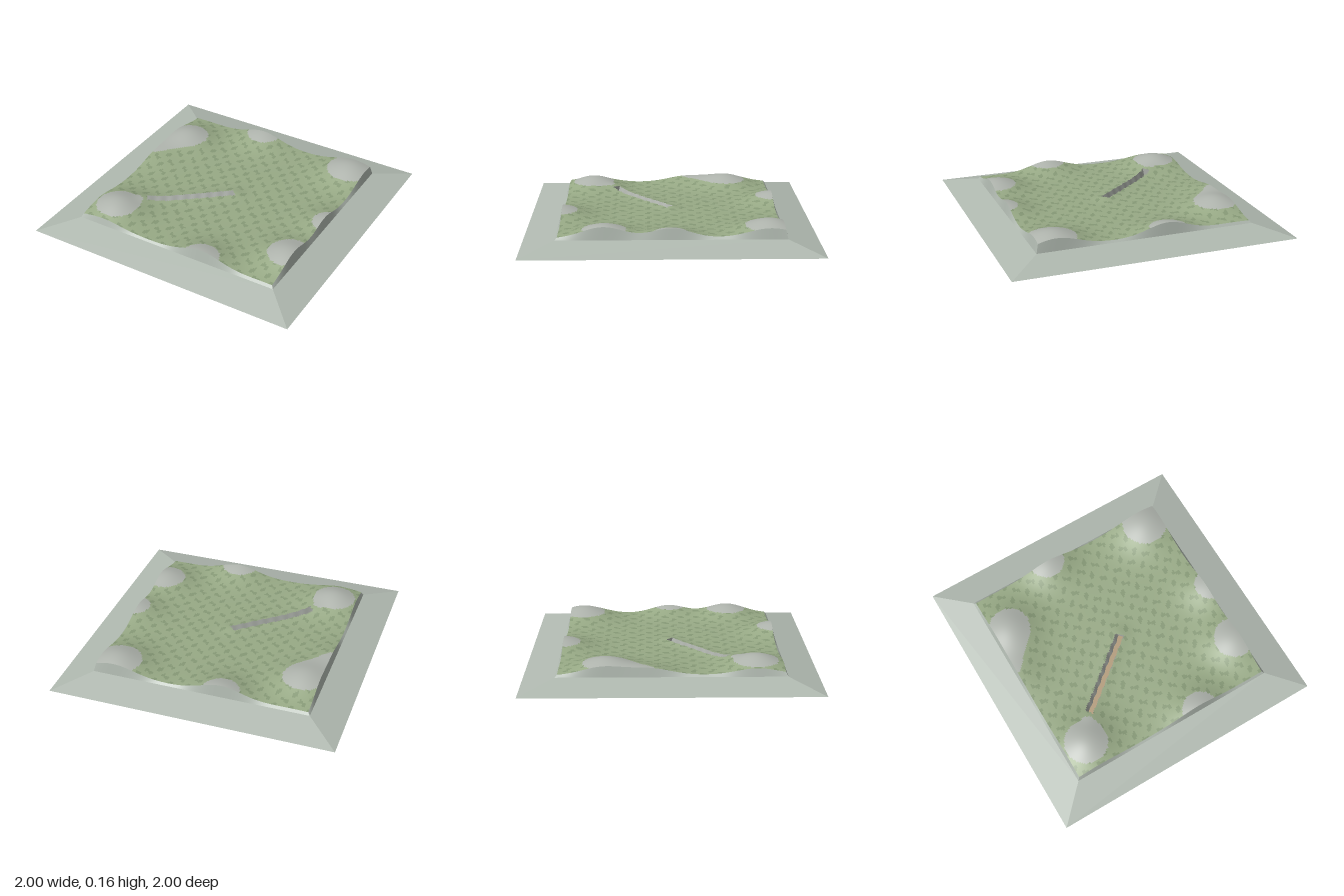
import * as THREE from 'three';

const EDGE = 0.755, SKIRT = 0.77, BASE = 0.07, RIM = 0.06, ROCK_LEVEL = 0.118;

// Rounded hills: x, z, height, spread
const HILLS = [
  [-0.64, -0.45, 0.082, 0.14], [-0.77, -0.14, 0.046, 0.14],
  [-0.15, -0.77, 0.075, 0.14], [0.63, -0.66, 0.088, 0.15],
  [0.78, 0, 0.066, 0.13], [0.71, 0.45, 0.08, 0.14],
  [0.22, 0.78, 0.075, 0.14], [-0.59, 0.57, 0.088, 0.14],
];

// Trench axis and its side direction
const A = new THREE.Vector2(-0.465, 0.392), B = new THREE.Vector2(0.025, -0.005);
const LENGTH = A.distanceTo(B);
const ALONG = B.clone().sub(A).normalize();
const SIDE = new THREE.Vector2(-ALONG.y, ALONG.x);
const trenchCoords = (x, z) => {
  const p = new THREE.Vector2(x, z).sub(A);
  return [p.dot(ALONG), p.dot(SIDE)];
};

function height(x, z) {
  let h = BASE;
  for (const [hx, hz, amp, s] of HILLS) {
    h += amp * Math.exp(-((x - hx) ** 2 + (z - hz) ** 2) / (2 * s * s));
  }
  // low bank of earth around the trench
  const [t, u] = trenchCoords(x, z);
  const past = Math.max(0, -t, t - LENGTH);
  return h + 0.014 * Math.exp(-(u * u + past * past) / (2 * 0.05 ** 2));
}

const paint = (color) => new THREE.MeshStandardMaterial({ color, side: THREE.DoubleSide });

// Grid surface from fn(u, v) -> [x, y, z]
function surface(nu, nv, fn) {
  const pos = [], index = [];
  for (let j = 0; j <= nv; j++) {
    for (let i = 0; i <= nu; i++) pos.push(...fn(i / nu, j / nv));
  }
  for (let j = 0; j < nv; j++) {
    for (let i = 0; i < nu; i++) {
      const a = j * (nu + 1) + i, c = a + nu + 1;
      index.push(a, c, a + 1, a + 1, c, c + 1);
    }
  }
  const g = new THREE.BufferGeometry();
  g.setAttribute('position', new THREE.Float32BufferAttribute(pos, 3));
  g.setIndex(index);
  g.computeVertexNormals();
  return g;
}

function addMesh(group, name, geometry, material) {
  const mesh = new THREE.Mesh(geometry, material);
  mesh.name = name;
  group.add(mesh);
  return mesh;
}

// Ground, divided into light grass, dark grass tufts and rocky hilltops
function buildTerrain(group) {
  const whole = surface(130, 130, (u, v) => {
    const x = (2 * u - 1) * EDGE, z = (2 * v - 1) * EDGE;
    return [x, height(x, z), z];
  });
  const p = whole.attributes.position, src = whole.index.array;
  const parts = { grass: [], darkGrass: [], rock: [] };
  for (let k = 0; k < src.length; k += 6) {
    const quad = Array.from(src.slice(k, k + 6));
    const x = (p.getX(quad[0]) + p.getX(quad[5])) / 2;
    const z = (p.getZ(quad[0]) + p.getZ(quad[5])) / 2;
    const [t, u] = trenchCoords(x, z);
    if (t > 0 && t < LENGTH && Math.abs(u) < 0.03) continue; // trench opening
    const tuft = Math.sin(x * 52) * Math.sin(z * 52) + 0.4 * Math.sin(x * 104 + z * 52);
    const kind = height(x, z) > ROCK_LEVEL ? 'rock' : tuft > 0.5 ? 'darkGrass' : 'grass';
    parts[kind].push(...quad);
  }
  const colors = { grass: 0x98aa86, darkGrass: 0x879a77, rock: 0xafb4ad };
  for (const kind in parts) {
    const g = new THREE.BufferGeometry();
    g.setAttribute('position', p);
    g.setAttribute('normal', whole.attributes.normal);
    g.setIndex(parts[kind]);
    addMesh(group, kind, g, paint(colors[kind]));
  }
}

// Sloping skirt and upright wall, one of each per side
function buildBorder(group) {
  const stone = paint(0xb0b9b0);
  for (let s = 0; s < 4; s++) {
    const c = Math.round(Math.cos(s * Math.PI / 2)), n = Math.round(Math.sin(s * Math.PI / 2));
    const turn = (x, y, z) => [x * c + z * n, y, -x * n + z * c];
    addMesh(group, 'slopingSkirt', surface(1, 1, (u, v) => {
      const r = THREE.MathUtils.lerp(SKIRT, 1, v);
      return turn((2 * u - 1) * r, RIM * (1 - v), r);
    }), stone);
    addMesh(group, 'edgeWall', surface(130, 1, (u, v) => {
      const r = v ? SKIRT : EDGE;
      const [x, , z] = turn((2 * u - 1) * r, 0, r);
      return [x, v ? RIM : height(x, z), z];
    }), stone);
  }
}

// Narrow trench with earth floor, sloping walls and closed ends
function buildTrench(group) {
  const trench = new THREE.Group();
  trench.name = 'trench';
  const wallPaint = paint(0xa9ada7), floorPaint = paint(0xb39c7c);
  const FLOOR = 0.022, END = 0.012;
  const at = (t, u, y) => {
    const x = A.x + ALONG.x * t + SIDE.x * u, z = A.y + ALONG.y * t + SIDE.y * u;
    return [x, y ?? height(x, z) - 0.001, z];
  };
  const span = (v) => THREE.MathUtils.lerp(-END, LENGTH + END, v);
  const wave = (v) => 0.003 * Math.sin(v * 50);
  const outer = [-0.042, 0.042], inner = [-0.012, 0.022];
  for (let k = 0; k < 2; k++) {
    addMesh(trench, 'trenchWall', surface(1, 48, (u, v) => u
      ? at(span(v), inner[k] + wave(v), FLOOR)
      : at(span(v), outer[k])), wallPaint);
    addMesh(trench, 'trenchEnd', surface(1, 1, (u, v) => v
      ? at(span(k), inner[u], FLOOR)
      : at(span(k), outer[u])), wallPaint);
  }
  addMesh(trench, 'trenchFloor', surface(1, 48, (u, v) =>
    at(span(v), inner[u] + wave(v), FLOOR)), floorPaint);
  group.add(trench);
}

export function createModel() {
  const group = new THREE.Group();
  group.name = 'terrainTile';
  buildTerrain(group);
  buildBorder(group);
  buildTrench(group);
  return group;
}
